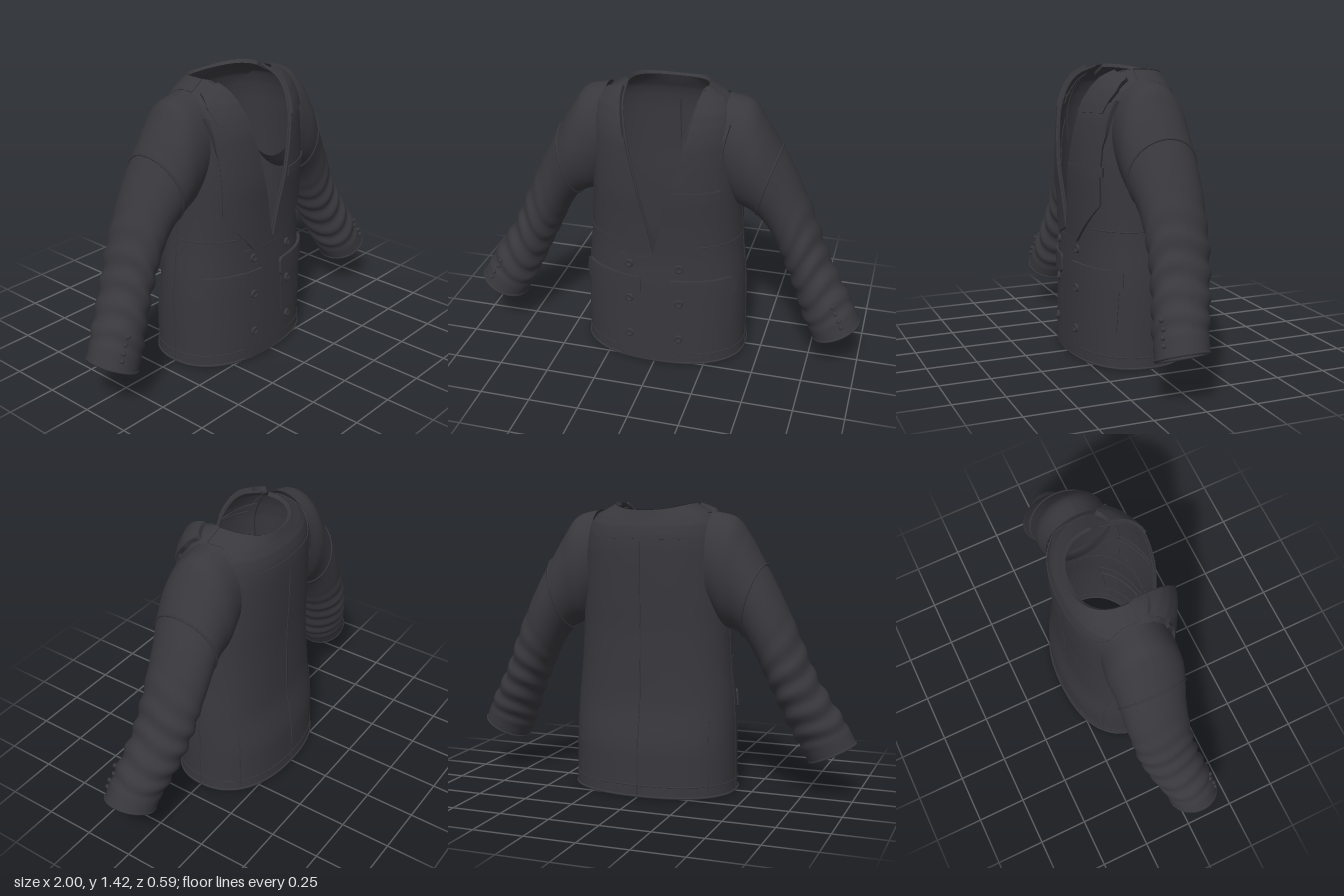
import * as THREE from 'three';
import { toCreasedNormals } from 'three/addons/utils/BufferGeometryUtils.js';

const V = (x, y, z) => new THREE.Vector3(x, y, z);
const clamp = THREE.MathUtils.clamp, smooth = THREE.MathUtils.smoothstep;

// Torso cross-sections: height, half width, front depth, back depth
const rows = [
  [0, .415, .28, .288], [.06, .413, .28, .286], [.23, .412, .277, .284], [.45, .405, .272, .25],
  [.62, .388, .268, .243], [.8, .378, .275, .24], [.95, .372, .285, .245], [1.1, .365, .28, .248],
  [1.2, .36, .27, .248], [1.27, .35, .25, .242], [1.33, .33, .22, .23], [1.37, .29, .19, .215],
  [1.395, .245, .15, .205], [1.42, .2, .08, .195],
];
const N = 2.3, TOP = 1.42, LAST = rows.length - 1;
const rowCurve = new THREE.CatmullRomCurve3(rows.map(r => V(r[1], r[2], r[3])));

function section(y) {
  y = clamp(y, 0, TOP);
  let i = 0;
  while (i < LAST - 1 && rows[i + 1][0] < y) i++;
  return rowCurve.getPoint((i + (y - rows[i][0]) / (rows[i + 1][0] - rows[i][0])) / LAST);
}

// Point on the torso: angle 0 is the front, PI is the back
function torsoPoint(a, y) {
  const s = section(y), sn = Math.sin(a), cs = Math.cos(a);
  const x = s.x * Math.sign(sn) * Math.abs(sn) ** (2 / N);
  const z = (cs > 0 ? s.y : -s.z) * Math.abs(cs) ** (2 / N);
  return V(x, y - .03 * smooth(y, 1.25, TOP) * Math.max(0, -cs) ** 2, z);
}

function torsoOffset(a, y, d) {
  const da = torsoPoint(a + .02, y).sub(torsoPoint(a - .02, y));
  const dy = torsoPoint(a, Math.min(y + .01, TOP)).sub(torsoPoint(a, y - .01));
  return torsoPoint(a, y).addScaledVector(dy.cross(da).normalize(), d);
}

// Depth of the front of the chest, including the sleeve head at the side
function frontZ(x, y) {
  const s = section(y), t = Math.min(Math.abs(x) / s.x, .96);
  const z = s.y * (1 - t ** N) ** (1 / N);
  const head = Math.abs(x) > .25 ? .19 * Math.sqrt(Math.max(0, 1 - ((y - 1.09) / .3) ** 2)) - .01 : 0;
  return Math.max(z, head);
}

function frontOffset(x, y, d) {
  const e = .012;
  const n = V(-(frontZ(x + e, y) - frontZ(x - e, y)) / (2 * e),
    -(frontZ(x, y + e) - frontZ(x, y - e)) / (2 * e), 1).normalize();
  return V(x, y, frontZ(x, y)).addScaledVector(n, d);
}

// Surface from a rule f(u, v)
function grid(f, nu, nv) {
  const pos = [], idx = [];
  for (let j = 0; j <= nv; j++) for (let i = 0; i <= nu; i++) pos.push(...f(i / nu, j / nv, i, j).toArray());
  for (let j = 0; j < nv; j++) for (let i = 0; i < nu; i++) {
    const a = j * (nu + 1) + i, b = a + 1, c = a + nu + 1, d = c + 1;
    idx.push(a, b, d, a, d, c);
  }
  const g = new THREE.BufferGeometry();
  g.setAttribute('position', new THREE.Float32BufferAttribute(pos, 3));
  g.setIndex(idx);
  g.computeVertexNormals();
  return g;
}

// Padded plate whose outer ring folds down to the cloth; place(u, v, depth)
function plate(place, nu, nv, d, taper = 0) {
  const g = grid((_, __, i, j) => {
    const edge = i === 0 || j === 0 || i === nu || j === nv;
    const u = (clamp(i, 1, nu - 1) - 1) / (nu - 2), v = (clamp(j, 1, nv - 1) - 1) / (nv - 2);
    return place(u, v, edge ? -.004 : d * (1 - taper * u));
  }, nu, nv);
  return toCreasedNormals(g, .7);
}

// Front plate spanned by rows [x0, y0, x1, y1], from bottom to top
function frontPlate(spans, d, side = 1, taper = 0) {
  return plate((u, v, h) => {
    const k = v * (spans.length - 1), i = Math.min(Math.floor(k), spans.length - 2);
    const r = spans[i].map((c, n) => c + (spans[i + 1][n] - c) * (k - i));
    return frontOffset(side * (r[0] + (r[2] - r[0]) * u), r[1] + (r[3] - r[1]) * u, h);
  }, 18, 8 * (spans.length - 1) + 2, d, taper);
}

// Sleeve cross-sections: outer x, y, inner x, y, centre z, half depth
const arm = [
  [.30, 1.385, .30, .90, -.01, .17], [.41, 1.355, .36, .83, -.01, .18], [.475, 1.27, .415, .81, -.005, .178],
  [.535, 1.17, .47, .77, -.01, .17], [.61, 1.04, .52, .70, -.02, .158], [.69, .88, .56, .62, -.02, .15],
  [.755, .73, .60, .535, -.015, .145], [.81, .60, .645, .44, 0, .14], [.88, .48, .69, .335, .025, .135],
  [.95, .37, .73, .245, .05, .128], [1.0, .27, .775, .165, .065, .125],
];
const outer = new THREE.CatmullRomCurve3(arm.map(r => V(r[0], r[1], r[4])));
const inner = new THREE.CatmullRomCurve3(arm.map(r => V(r[2], r[3], r[4])));
const depth = new THREE.CatmullRomCurve3(arm.map(r => V(r[5], 0, 0)));

// Angle 0 is the outside of the arm, PI/2 the front; folds deepen towards the forearm
function sleevePoint(t, a, d = 0) {
  const o = outer.getPoint(t), n = inner.getPoint(t);
  const mid = o.clone().add(n).multiplyScalar(.5), half = o.sub(n).multiplyScalar(.5);
  const fold = .006 * smooth(t, .4, .65) * (1 - smooth(t, .88, .95)) * Math.sin(t * 75 + 1.3 * Math.sin(a * 2));
  const k = 1 + (fold + d) / half.length();
  return mid.addScaledVector(half, Math.cos(a) * k).add(V(0, 0, depth.getPoint(t).x * Math.sin(a) * k));
}

export function createModel() {
  const cloth = new THREE.MeshStandardMaterial({ color: 0x38383d, side: THREE.DoubleSide });
  cloth.name = 'charcoal cloth';
  const model = new THREE.Group();
  model.name = 'jacket';
  const add = (name, geo) => {
    const m = new THREE.Mesh(geo, cloth);
    m.name = name;
    model.add(m);
    return m;
  };
  const seam = (name, pts, r = .0035, closed = false) =>
    add(name, new THREE.TubeGeometry(new THREE.CatmullRomCurve3(pts, closed), pts.length * 3, r, 6, closed));
  const line = (n, f) => Array.from({ length: n + 1 }, (_, i) => f(i / n));

  // Body with a deep V opening at the front
  const openAngle = y => {
    const vx = Math.max(0, .19 * (y - .64) / .78);
    return Math.asin(Math.min(1, vx / section(y).x) ** (N / 2));
  };
  add('body', grid((u, v) => {
    const k = v * LAST, i = Math.min(Math.floor(k), LAST - 1);
    const y = rows[i][0] + (rows[i + 1][0] - rows[i][0]) * (k - i), a0 = openAngle(y);
    return torsoPoint(a0 + u * 2 * (Math.PI - a0), y);
  }, 96, LAST * 6));
  for (const s of [1, -1]) seam('neckEdge', line(24, t => {
    const y = .64 + t * .775;
    return torsoPoint(s * openAngle(y), y);
  }), .006);
  seam('hem', line(48, t => torsoPoint(t * Math.PI * 2, .006)).slice(1), .006, true);
  seam('hemStitch', line(48, t => torsoPoint(t * Math.PI * 2, .06)).slice(1), .003, true);
  seam('backSeam', line(20, t => torsoPoint(Math.PI, .01 + t * 1.23)));

  // Back collar falling to a flap, straight along its lower edge
  add('backCollar', plate((u, v, d) => {
    const a = 1.5 + u * 2 * (Math.PI - 1.5), back = Math.abs(a - Math.PI);
    const low = 1.255 + .12 * smooth(back, .5, 1.4);
    return torsoOffset(a, low + (TOP - low) * v, d);
  }, 50, 14, .016));

  // Front overlap of the double-breasted closing
  add('frontOverlap', frontPlate([[-.18, .005, .2, .005], [-.18, .3, .2, .3], [-.18, .6, .1, .6]], .007, 1, 1));
  // Chest pocket welt on the left
  add('chestPocket', frontPlate([[.09, .93, .295, .93], [.09, .975, .295, .975]], .021));

  for (const s of [1, -1]) {
    // Lapel and front collar
    add('lapel', frontPlate([[.004, .64, .12, .59], [.037, .79, .28, .79], [.105, 1.07, .288, 1.07],
      [.143, 1.225, .335, 1.285]], .015, s));
    add('frontCollar', frontPlate([[.145, 1.22, .278, 1.225], [.168, 1.32, .295, 1.325],
      [.188, 1.40, .275, 1.375]], .024, s));

    // Hip pocket, flap and buttons
    add('hipPocket', frontPlate([[.08, .185, .36, .185], [.08, .40, .365, .40]], .006, s));
    add('pocketFlap', frontPlate([[.08, .39, .365, .39], [.065, .405, .375, .405], [.065, .475, .372, .475],
      [.075, .488, .362, .488]], .016, s));
    for (const y of [.155, .36, .555]) {
      const g = new THREE.LatheGeometry([[0, .006], [.012, .006], [.014, .011], [.019, .011], [.021, 0]]
        .map(p => new THREE.Vector2(...p)), 20);
      const b = add('frontButton', g);
      b.position.copy(frontOffset(s * .125, y, .007));
      b.quaternion.setFromUnitVectors(V(0, 1, 0),
        frontOffset(s * .125, y, 1).sub(frontOffset(s * .125, y, 0)).normalize());
    }

    // Waist and side seams, back vent
    seam('waistSeam', line(12, t => torsoPoint(s * (.55 + t * 1), .67)), .003);
    seam('sideSeam', line(12, t => torsoPoint(s * 1.57, .01 + t * .8)), .003);
    seam('backVent', line(8, t => torsoPoint(s * 2.25, .02 + t * .36)), .003);

    // Sleeve with folds, upper-arm seam, cuff edge and cuff buttons
    const mir = p => V(p.x * s, p.y, p.z);
    add('sleeve', grid((u, v) => mir(sleevePoint(v, u * Math.PI * 2)), 48, 90));
    seam('sleeveSeam', line(36, t => mir(sleevePoint(.30 + .03 * Math.cos(t * Math.PI * 2), t * Math.PI * 2))).slice(1), .006, true);
    seam('cuffEdge', line(36, t => mir(sleevePoint(.997, t * Math.PI * 2, -.003))).slice(1), .007, true);
    add('cuffLining', grid((u, v) => mir(sleevePoint(.75 + .247 * v, u * Math.PI * 2, -.012)), 36, 10));
    for (let i = 0; i < 4; i++) {
      const b = add('cuffButton', new THREE.SphereGeometry(.011, 12, 8));
      b.position.copy(mir(sleevePoint(.85 + i * .033, 1.05, .003)));
    }
  }
  return model;
}
